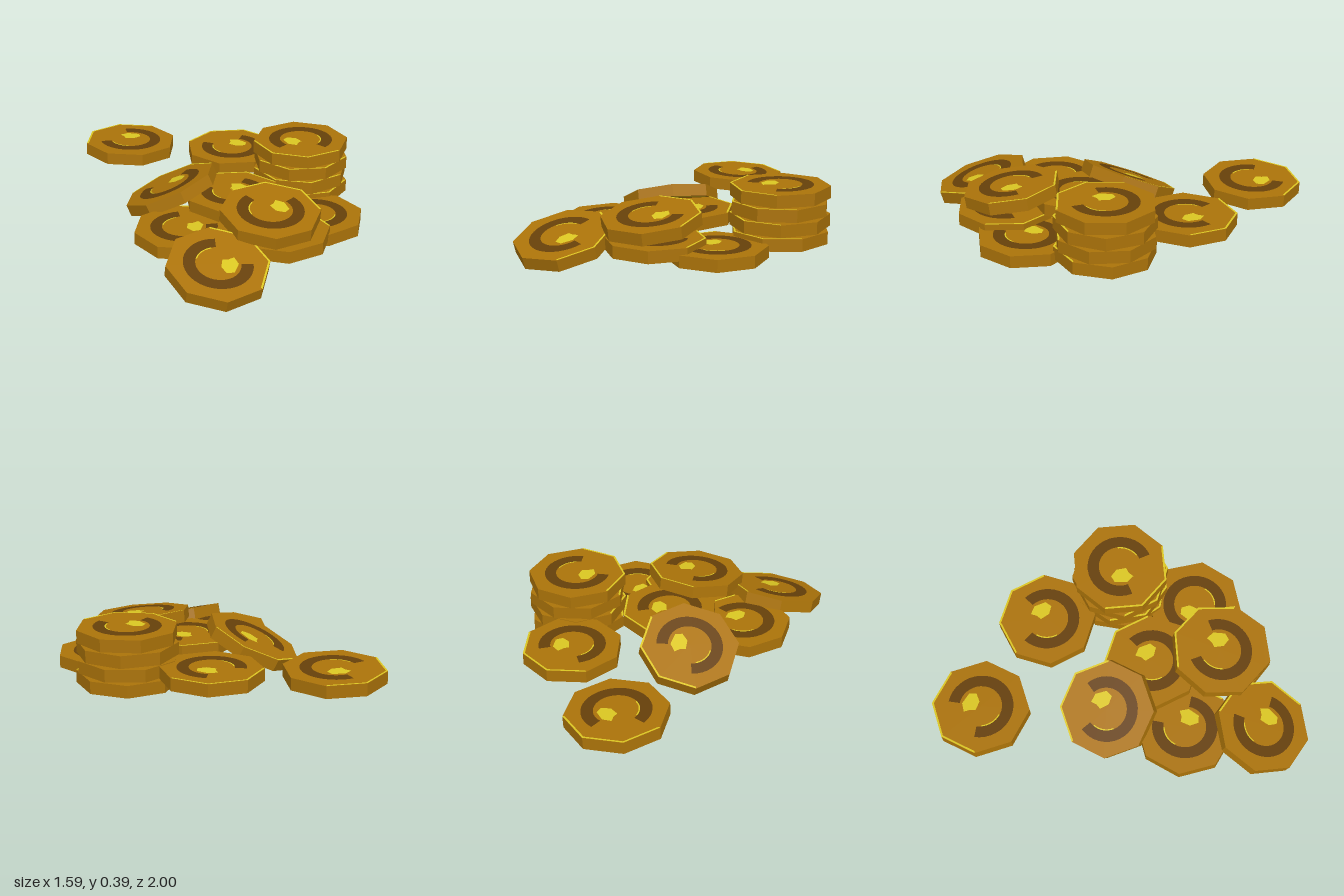
import * as THREE from 'three';

const RADIUS = 0.273, THICK = 0.068, LIFT = 0.002;
const CORNER = -34; // angle of one octagon corner relative to the centre glint
const rad = THREE.MathUtils.degToRad;

const gold = new THREE.MeshStandardMaterial({ color: 0xab7309 });
gold.name = 'gold';
const darkGold = new THREE.MeshStandardMaterial({ color: 0x664009 });
darkGold.name = 'dark gold';
const brightGold = new THREE.MeshStandardMaterial({ color: 0xdac622 });
brightGold.name = 'bright gold';

function add(parent, geometry, material, name) {
  const mesh = new THREE.Mesh(geometry, material);
  mesh.name = name;
  parent.add(mesh);
}

// Flat arc lying on a coin face; angles in degrees, counted from +x towards -z
function arc(inner, outer, start, length, segments) {
  return new THREE.RingGeometry(inner, outer, segments, 1, rad(start), rad(length)).rotateX(-Math.PI / 2);
}

// Fan-shaped glint near the middle of the face
function glintGeometry() {
  const outline = [[0.015, -0.025], [0.045, -0.065], [0.085, -0.055], [0.105, 0.01], [0.08, 0.055], [0.05, 0.035], [0.02, 0.03]];
  const shape = new THREE.Shape(outline.map(([x, y]) => new THREE.Vector2(x, y)));
  return new THREE.ShapeGeometry(shape).rotateX(-Math.PI / 2);
}

// Painted relief of one face: open ring, glint and highlights
function makeFace() {
  const face = new THREE.Group();
  face.name = 'coinFace';
  add(face, arc(0.119, 0.182, 97, 269, 28), darkGold, 'openRing');
  add(face, glintGeometry(), brightGold, 'centreGlint');
  add(face, arc(0.112, 0.119, 110, 60, 8), brightGold, 'ringGlint');
  add(face, arc(RADIUS - 0.011, RADIUS, CORNER, 135, 3), brightGold, 'edgeGlint');
  face.position.y = THICK / 2 + LIFT;
  return face;
}

// Octagonal coin; slope is the rise per unit along x and z, spin its turn in degrees
function makeCoin({ at, slope = [0, 0], spin }) {
  const coin = new THREE.Group();
  coin.name = 'coin';
  const spun = new THREE.Group();
  spun.name = 'spunCoin';
  spun.rotation.y = rad(spin);
  const body = new THREE.CylinderGeometry(RADIUS, RADIUS, THICK, 8).toNonIndexed().rotateY(rad(CORNER));
  body.computeVertexNormals();
  add(spun, body, gold, 'coinBody');
  spun.add(makeFace());
  const underside = new THREE.Group();
  underside.name = 'coinUnderside';
  underside.rotation.set(Math.PI, rad(2 * CORNER), 0, 'YXZ');
  underside.add(makeFace());
  spun.add(underside);
  coin.add(spun);
  const normal = new THREE.Vector3(-slope[0], 1, -slope[1]).normalize();
  coin.quaternion.setFromUnitVectors(new THREE.Vector3(0, 1, 0), normal);
  coin.position.set(...at);
  return coin;
}

export function createModel() {
  const model = new THREE.Group();
  model.name = 'coinPile';

  // Loose coins lying around the pile
  const coins = [
    { at: [-0.535, 0.185, -0.74], slope: [-0.025, 0.03], spin: 97 },
    { at: [0.085, 0.19, -0.612], spin: 62 },
    { at: [0.525, 0.09, 0.118], spin: 181 },
    { at: [0.077, 0.19, 0.033], spin: 61 },
    { at: [-0.195, 0.126, 0.342], spin: 4 },
    { at: [-0.268, 0.181, -0.088], slope: [0.43, 0.15], spin: 51 },
    { at: [0.32, 0.124, 0.374], spin: 41 },
    { at: [0.266, 0.235, 0.362], slope: [-0.05, -0.14], spin: 38 },
    { at: [-0.02, 0.115, 0.735], slope: [-0.11, -0.29], spin: -1 },
  ];
  for (const coin of coins) model.add(makeCoin(coin));

  // Stack of four coins, each turned a little
  const stack = new THREE.Group();
  stack.name = 'coinStack';
  [249, 224, 242, 219].forEach((spin, i) => {
    stack.add(makeCoin({ at: [0.474, 0.114 + i * 0.0795, -0.325], spin }));
  });
  model.add(stack);
  return model;
}
